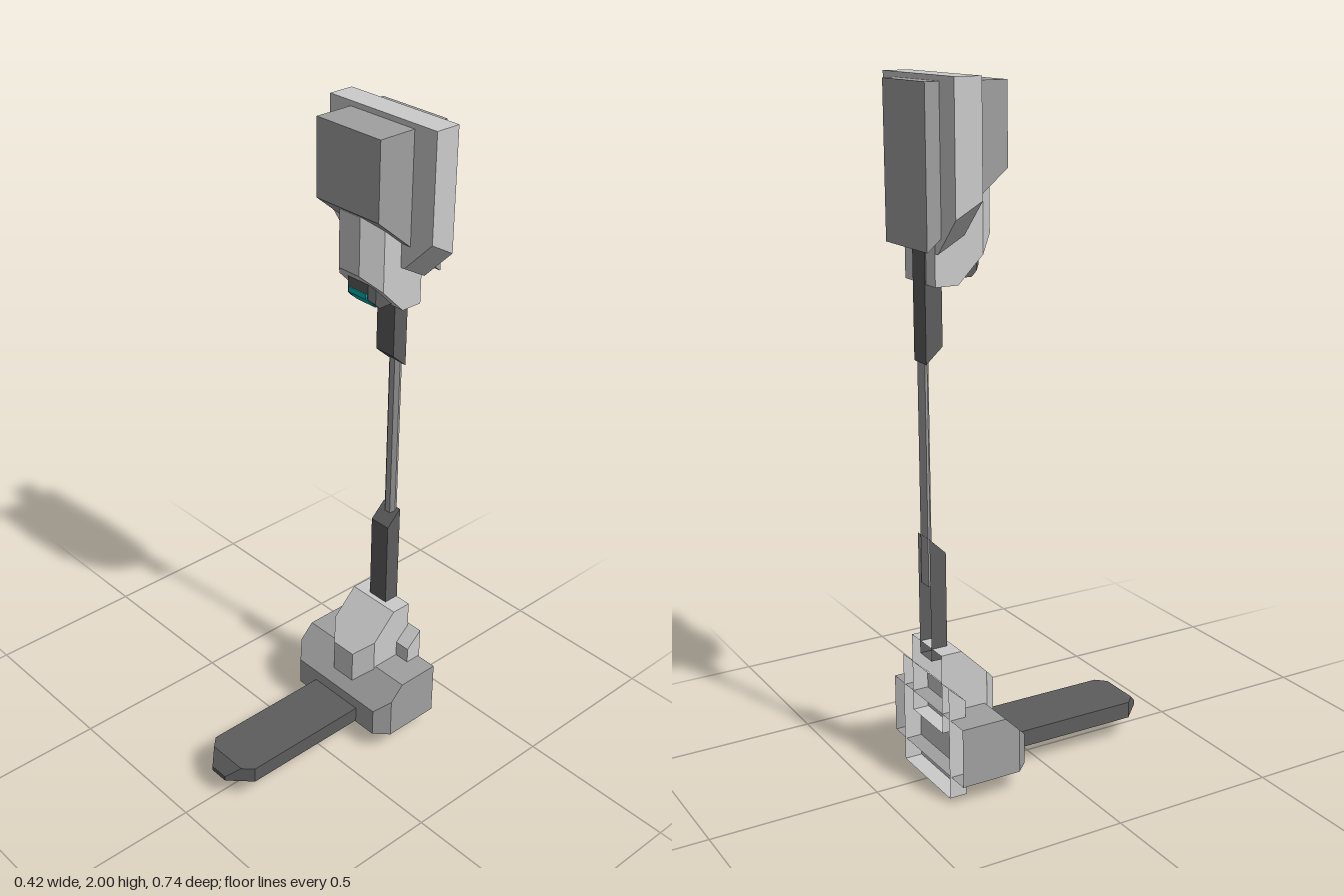
import * as THREE from 'three';
import { ConvexGeometry } from 'three/addons/geometries/ConvexGeometry.js';

const LIGHT = 0xcccccc, MID = 0xa0a0a0, DARK = 0x5d5d5d, TEAL = 0x00b4b4;

// Faceted solid from points with x >= 0, mirrored to -x; openBack removes the rear faces.
function solid(name, color, half, openBack = false) {
  const points = half.flatMap(([x, y, z]) => [new THREE.Vector3(x, y, z), new THREE.Vector3(-x, y, z)]);
  let geometry = new ConvexGeometry(points);
  if (openBack) {
    const pos = geometry.attributes.position, nor = geometry.attributes.normal, kept = [];
    for (let i = 0; i < pos.count; i += 3) {
      if (nor.getZ(i) < -0.99) continue;
      for (let j = i; j < i + 3; j++) kept.push(pos.getX(j), pos.getY(j), pos.getZ(j));
    }
    geometry = new THREE.BufferGeometry();
    geometry.setAttribute('position', new THREE.Float32BufferAttribute(kept, 3));
    geometry.computeVertexNormals();
  }
  const material = new THREE.MeshStandardMaterial({ color, flatShading: true });
  if (openBack) material.side = THREE.DoubleSide;
  const mesh = new THREE.Mesh(geometry, material);
  mesh.name = name;
  return mesh;
}

// Side profile of [z, y] points swept across the width 2 * w.
const slab = (name, color, w, profile, openBack) =>
  solid(name, color, profile.map(([z, y]) => [w, y, z]), openBack);

// Block with chamfered front corners (c) and a 45 degree cut from the end yEnd,
// starting at depth zCut. yEnd may lie above or below yBase.
function cutBlock(name, color, { w, c, front, back, yBase, yEnd, zCut }, openBack) {
  const dir = Math.sign(yEnd - yBase);
  const cutY = z => yEnd - dir * (z - zCut);
  const plan = [[w, back], [w, front - c], [w - c, front]];
  const points = plan.map(([x, z]) => [x, yBase, z]);
  points.push([w, yEnd, back], [w, yEnd, zCut], [w, cutY(front - c), front - c], [w - c, cutY(front), front]);
  return solid(name, color, points, openBack);
}

export function createModel() {
  const model = new THREE.Group();

  // Foot: guard, blade and stepped blocks, hollow from behind
  model.add(
    cutBlock('guard', MID, { w: 0.21, c: 0.04, front: -0.11, back: -0.333, yBase: 0.065, yEnd: 0.24, zCut: -0.195 }, true),
    cutBlock('guardNeck', LIGHT, { w: 0.09, c: 0.048, front: -0.14, back: -0.333, yBase: 0.18, yEnd: 0.417, zCut: -0.268 }, true),
    slab('guardPlate', LIGHT, 0.14, [[-0.285, 0], [-0.338, 0], [-0.338, 0.338], [-0.285, 0.29]], true),
    solid('blade', DARK, [
      [0.094, 0.07, -0.28], [0.094, 0.12, -0.28],
      [0.094, 0.07, 0.305], [0.094, 0.12, 0.305],
      [0.065, 0.12, 0.334], [0.03, 0.085, 0.37], [0.03, 0.07, 0.37],
    ]),
  );

  // Shaft: two sleeves with slanted ends and a faceted rod between them
  model.add(
    slab('lowerSleeve', DARK, 0.035, [[-0.285, 0.38], [-0.335, 0.38], [-0.335, 0.745], [-0.285, 0.697]], true),
    slab('upperSleeve', DARK, 0.035, [[-0.285, 1.6], [-0.335, 1.6], [-0.335, 1.24], [-0.285, 1.285]]),
    solid('rod', MID, [0.6, 1.27].flatMap(y => [[0.022, y, -0.333], [0.022, y, -0.326], [0.01, y, -0.316]])),
  );

  // Head: main plate with angled lower corners, front and rear blocks
  const plate = [[-0.25, 0], [-0.329, -0.045]].flatMap(([z, drop]) => [
    [0.2, 2, z], [0.2, 1.69 + drop, z], [0.1, 1.59 + drop, z],
  ]);
  model.add(
    solid('headPlate', LIGHT, plate),
    slab('headFrontBlock', MID, 0.12, [[-0.13, 1.985], [-0.25, 1.985], [-0.25, 1.66], [-0.13, 1.76]]),
    slab('headRearBlock', MID, 0.12, [[-0.328, 1.985], [-0.37, 1.985], [-0.37, 1.555], [-0.328, 1.59]]),
  );

  // Nozzle under the head with its dark emitter and teal lens
  const emitter = { w: 0.055, c: 0.015, front: -0.175, back: -0.27, yBase: 1.57, yEnd: 1.47, zCut: -0.205 };
  const lens = { w: 0.038, c: 0.004, front: -0.172, back: -0.25, yBase: 1.515, yEnd: 1.467, zCut: -0.205 };
  model.add(
    cutBlock('nozzle', LIGHT, { w: 0.087, c: 0.047, front: -0.14, back: -0.331, yBase: 1.75, yEnd: 1.457, zCut: -0.263 }),
    cutBlock('emitter', DARK, emitter),
    cutBlock('lens', TEAL, lens),
  );

  return model;
}
